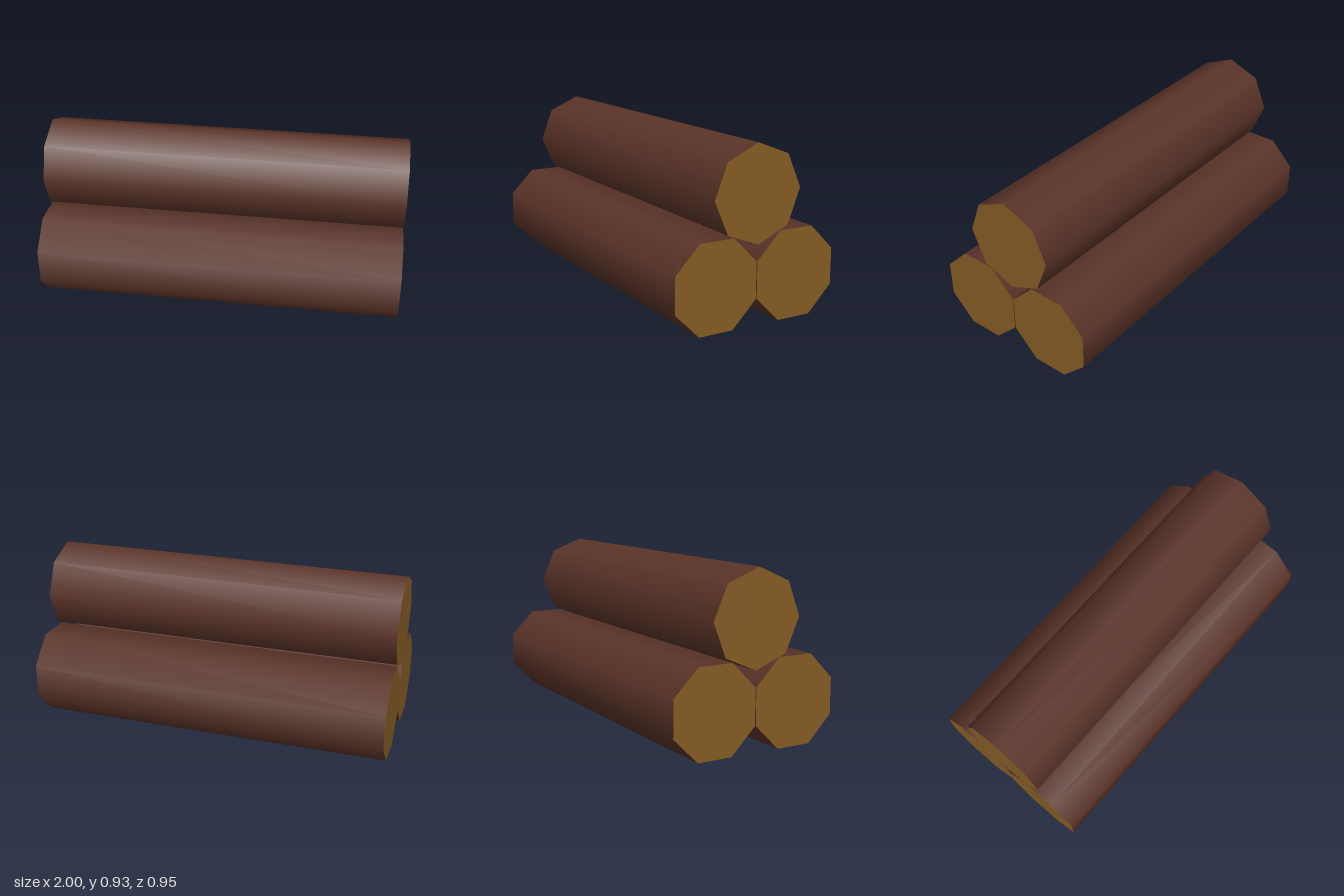
import * as THREE from 'three';

export function createModel() {
  const bark = new THREE.MeshStandardMaterial({ color: 0x5a3328 });
  bark.name = 'darkBark';
  const cutWood = new THREE.MeshStandardMaterial({ color: 0x855c25 });
  cutWood.name = 'cutWood';

  // Eight-sided log lying along x: smooth bark, flat sawn ends
  const logGeometry = new THREE.CylinderGeometry(0.2555, 0.2555, 2, 8);
  logGeometry.rotateZ(Math.PI / 2);

  const pile = new THREE.Group();
  pile.name = 'logPile';

  function addLog(name, y, z, roll) {
    const log = new THREE.Mesh(logGeometry, [bark, cutWood, cutWood]);
    log.name = name;
    log.position.set(0, y, z);
    log.rotation.x = roll;
    pile.add(log);
  }

  // Two logs side by side, resting on their flats
  addLog('frontLog', 0.236, 0.239, Math.PI / 8);
  addLog('backLog', 0.236, -0.238, Math.PI / 8);
  // Third log on top, rolled slightly off its corner
  addLog('topLog', 0.675, 0.002, 0.023);

  return pile;
}
